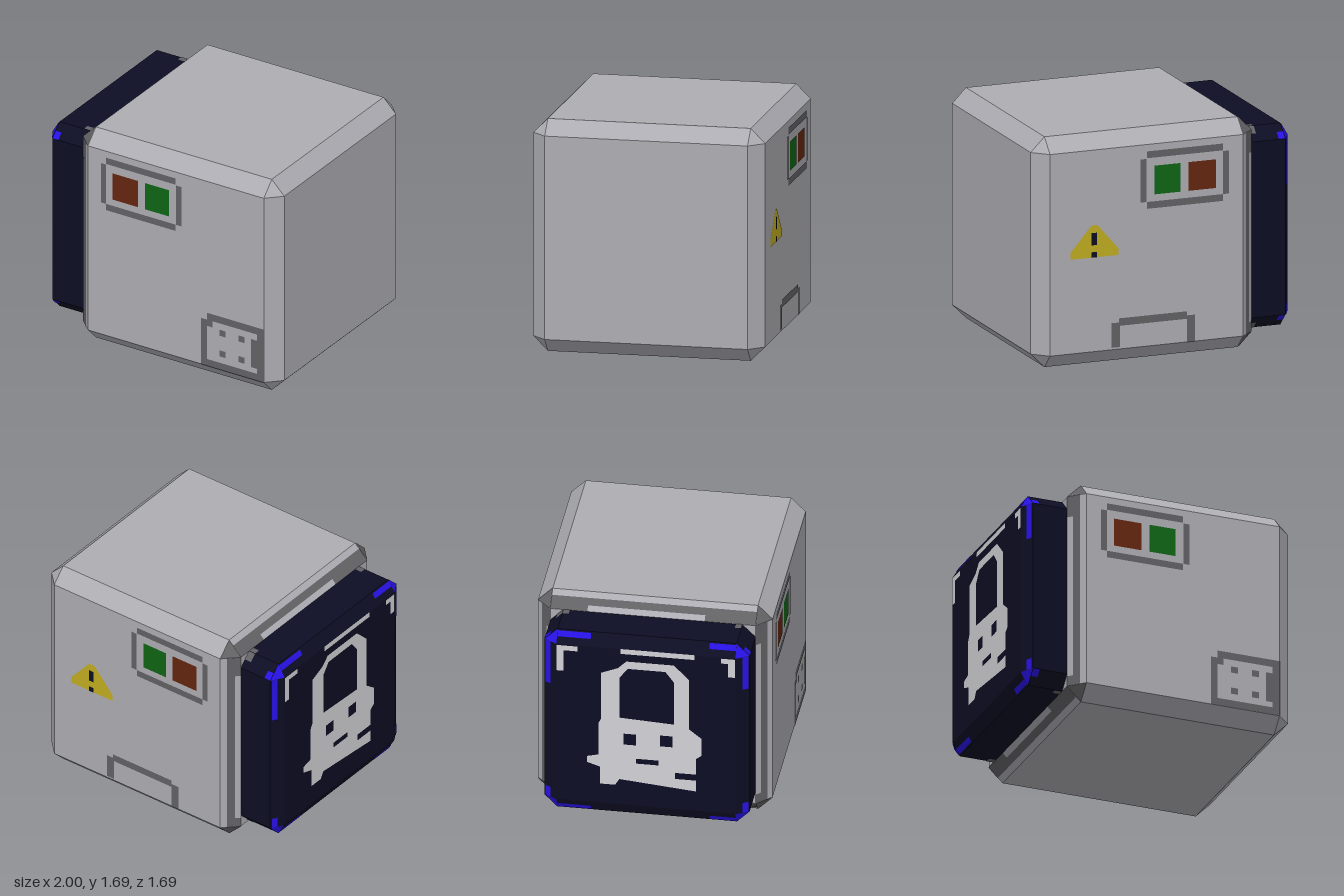
import * as THREE from 'three';
import { ConvexGeometry } from 'three/addons/geometries/ConvexGeometry.js';

const mat = (name, color, side = THREE.FrontSide) => {
  const m = new THREE.MeshStandardMaterial({ color, side });
  m.name = name;
  return m;
};
const V = (x, y, z) => new THREE.Vector3(x, y, z);

export function createModel() {
  const M = {
    shell: mat('shellGrey', 0xacacb2),
    trim: mat('darkGrey', 0x626265),
    navy: mat('navy', 0x0d0d24),
    blue: mat('blue', 0x2812e6),
    red: mat('rust', 0x642610),
    green: mat('green', 0x0f6414),
    yellow: mat('yellow', 0xc0ac20),
    icon: mat('lightGrey', 0xd2d2d6),
  };
  const model = new THREE.Group();
  const add = (name, geo, m) => {
    const mesh = new THREE.Mesh(geo, m);
    mesh.name = name;
    model.add(mesh);
    return mesh;
  };

  // Flat convex plate, lifted slightly along its outward normal
  const plate = (name, pts, out, m, lift = 0.003) => {
    const n = V(...out).normalize();
    const face = pts[1].clone().sub(pts[0]).cross(pts[2].clone().sub(pts[0]));
    const p = face.dot(n) < 0 ? [...pts].reverse() : pts;
    const pos = [];
    for (let i = 1; i < p.length - 1; i++)
      for (const q of [p[0], p[i], p[i + 1]]) pos.push(...q.clone().addScaledVector(n, lift).toArray());
    const g = new THREE.BufferGeometry();
    g.setAttribute('position', new THREE.Float32BufferAttribute(pos, 3));
    g.computeVertexNormals();
    return add(name, g, m);
  };
  // Rectangle on the front (s = 1) or back (s = -1) of the body
  const rect = (name, s, x0, x1, y0, y1, m, lift) =>
    plate(name, [V(x0, y0, s * 0.84), V(x1, y0, s * 0.84), V(x1, y1, s * 0.84), V(x0, y1, s * 0.84)], [0, 0, s], m, lift);

  // Chamfered body
  const body = [];
  for (const a of [0, 1]) for (const b of [0, 1]) for (const s of [-1, 1]) {
    body.push(V(a ? 1 : -0.685, b ? 1.58 : 0.105, s * 0.735));
    body.push(V(a ? 0.895 : -0.58, b ? 1.685 : 0, s * 0.735));
    body.push(V(a ? 0.895 : -0.58, b ? 1.58 : 0.105, s * 0.84));
  }
  add('body', new ConvexGeometry(body), M.shell);

  // Screen slab on the right side, with bevelled outer rim
  const slab = [];
  for (const b of [0, 1]) for (const s of [-1, 1]) {
    slab.push(V(-1, b ? 1.487 : 0.2, s * 0.64));
    for (const x of [-0.945, -0.67]) {
      slab.push(V(x, b ? 1.58 : 0.105, s * 0.64));
      slab.push(V(x, b ? 1.487 : 0.2, s * 0.735));
    }
  }
  add('screenSlab', new ConvexGeometry(slab), M.navy);

  // Dark seam on the four body chamfers beside the slab
  const mix = THREE.MathUtils.lerp;
  const seam = (point, out, lo, hi, a, b) => {
    const strip = (t0, t1, u0, u1) =>
      plate('seam', [point(t0, u0), point(t1, u0), point(t1, u1), point(t0, u1)], out, M.trim);
    strip(0.3, 0.67, lo, hi);
    strip(0, 0.3, lo, a);
    strip(0, 0.3, b, hi);
  };
  for (const s of [-1, 1]) {
    seam((t, y) => V(mix(-0.685, -0.58, t), y, s * mix(0.735, 0.84, t)), [-1, 0, s], 0.105, 1.58, 0.18, 1.42);
    const yOf = (t) => (s > 0 ? mix(1.58, 1.685, t) : mix(0.105, 0, t));
    seam((t, z) => V(mix(-0.685, -0.58, t), yOf(t), z), [-1, s, 0], -0.735, 0.735, -0.47, 0.37);
    for (const b of [0, 1]) {
      plate('seamCorner', [V(-0.685, b ? 1.58 : 0.105, s * 0.735), V(-0.58, b ? 1.685 : 0, s * 0.735),
        V(-0.58, b ? 1.58 : 0.105, s * 0.84)], [-1, b ? 1 : -1, s], M.trim);
    }
  }

  // Blue accents at the slab corners
  for (const b of [0, 1]) for (const s of [-1, 1]) {
    const d = b ? 1 : -1, yi = b ? 1.487 : 0.2, yo = b ? 1.58 : 0.105;
    plate('blueCorner', [V(-1, yi, s * 0.64), V(-0.945, yo, s * 0.64), V(-0.945, yi, s * 0.735)],
      [-0.095 * 0.095, d * 0.055 * 0.095, s * 0.055 * 0.095], M.blue);
    const side = (t, y) => V(mix(-1, -0.945, t), y, s * mix(0.64, 0.735, t));
    const yEnd = b ? (s > 0 ? 1.22 : 1.14) : 0.28;
    plate('blueSideStrip', [side(0.5, yi), side(0.9, yi), side(0.9, yEnd), side(0.5, yEnd)],
      [-0.095, 0, s * 0.055], M.blue);
    const edge = (t, z) => V(mix(-1, -0.945, t), mix(yi, yo, t), z);
    const zEnd = s > 0 ? 0.45 : -0.4;
    plate('blueEdgeStrip', [edge(0.5, s * 0.64), edge(0.9, s * 0.64), edge(0.9, zEnd), edge(0.5, zEnd)],
      [-0.095, d * 0.055, 0], M.blue);
    const bar = (x, t) => V(x, mix(yi, yo, t), s * mix(0.735, 0.64, t));
    plate('blueTail', [bar(-0.945, 0), bar(-0.895, 0), bar(-0.895, 0.45), bar(-0.945, 0.45)], [0, d, s], M.blue);
    // Small clip where the slab meets the body
    plate('clip', [V(-0.74, yo, s * 0.64), V(-0.685, yo, s * 0.64), V(-0.685, yo, s * 0.595), V(-0.74, yo, s * 0.595)],
      [0, d, 0], M.trim);
    if (s < 0)
      plate('clip', [bar(-0.74, 0.5), bar(-0.685, 0.5), bar(-0.685, 1), bar(-0.74, 1)], [0, d, s], M.trim);
  }

  // Button panels on front and back
  for (const s of [-1, 1]) {
    rect('panelFrame', s, -0.425, 0.155, 1.48, 1.53, M.trim);
    rect('panelFrame', s, -0.425, 0.155, 1.11, 1.16, M.trim);
    rect('panelFrame', s, -0.47, -0.425, 1.16, 1.475, M.trim);
    rect('panelFrame', s, 0.16, 0.205, 1.16, 1.475, M.trim);
    rect('redButton', s, -0.37, -0.16, 1.21, 1.42, M.red);
    rect('greenButton', s, -0.1, 0.1, 1.21, 1.42, M.green);
  }

  // Socket at the lower front corner
  rect('socketFrame', 1, 0.37, 0.42, 0.105, 0.475, M.trim);
  rect('socketFrame', 1, 0.42, 0.895, 0.475, 0.53, M.trim);
  rect('socketFrame', 1, 0.42, 0.895, 0.105, 0.16, M.trim);
  rect('socketFrame', 1, 0.84, 0.895, 0.16, 0.475, M.trim);
  rect('socketFrame', 1, 0.79, 0.84, 0.2, 0.425, M.trim);
  rect('socketFrame', 1, 0.42, 0.465, 0.425, 0.475, M.trim);
  for (const x of [0.55, 0.71]) for (const y of [0.235, 0.4])
    rect('socketHole', 1, x - 0.026, x + 0.026, y - 0.024, y + 0.024, M.trim);

  // Warning sign on the back
  plate('warningSign', [V(0.375, 0.795, -0.84), V(0.74, 0.795, -0.84), V(0.74, 0.845, -0.84),
    V(0.58, 1.03, -0.84), V(0.535, 1.03, -0.84), V(0.375, 0.845, -0.84)], [0, 0, -1], M.yellow);
  rect('warningBar', -1, 0.54, 0.58, 0.885, 0.975, M.navy, 0.006);
  rect('warningDot', -1, 0.54, 0.58, 0.795, 0.835, M.navy, 0.006);

  // Arch at the bottom of the back
  rect('archTop', -1, -0.15, 0.37, 0.275, 0.33, M.trim);
  rect('archLeft', -1, 0.36, 0.425, 0.12, 0.3, M.trim);
  rect('archRight', -1, -0.21, -0.15, 0.105, 0.3, M.trim);

  // Padlock icon on the screen, drawn as (z, y)
  const outline = (pts, Type = THREE.Shape) => new Type(pts.map(([a, b]) => new THREE.Vector2(a, b)));
  const box = (a, b, c, d) => outline([[a, b], [c, b], [c, d], [a, d]], THREE.Path);
  const lock = outline([[-0.33, 0.36], [-0.22, 0.36], [-0.19, 0.41], [0.36, 0.36], [0.36, 0.45], [0.21, 0.45],
    [0.21, 0.5], [0.36, 0.5], [0.36, 0.63], [0.4, 0.66], [0.4, 0.8], [0.31, 0.87], [0.31, 1.28], [0.2, 1.39],
    [-0.14, 1.39], [-0.2, 1.33], [-0.32, 1.28], [-0.32, 0.9], [-0.34, 0.86], [-0.34, 0.6], [-0.42, 0.58], [-0.42, 0.53],
    [-0.33, 0.5]]);
  lock.holes.push(
    outline([[-0.19, 0.92], [0.2, 0.9], [0.2, 1.25], [0.14, 1.33], [-0.13, 1.33], [-0.19, 1.25]], THREE.Path),
    box(-0.16, 0.7, -0.07, 0.79), box(0.1, 0.71, 0.19, 0.8), box(-0.07, 0.55, 0.09, 0.59));
  const icon = add('padlockIcon', new THREE.ShapeGeometry(lock), M.icon);
  icon.rotation.y = -Math.PI / 2;
  icon.position.x = -1.003;

  // Bar and corner marks on the screen
  const mark = (z0, z1, y0, y1) =>
    plate('screenMark', [V(-1, y0, z0), V(-1, y0, z1), V(-1, y1, z1), V(-1, y1, z0)], [-1, 0, 0], M.icon);
  mark(-0.18, 0.35, 1.45, 1.49);
  mark(-0.64, -0.59, 1.27, 1.48);
  mark(-0.59, -0.49, 1.44, 1.48);
  mark(0.59, 0.64, 1.33, 1.48);
  mark(0.54, 0.59, 1.44, 1.48);

  return model;
}
